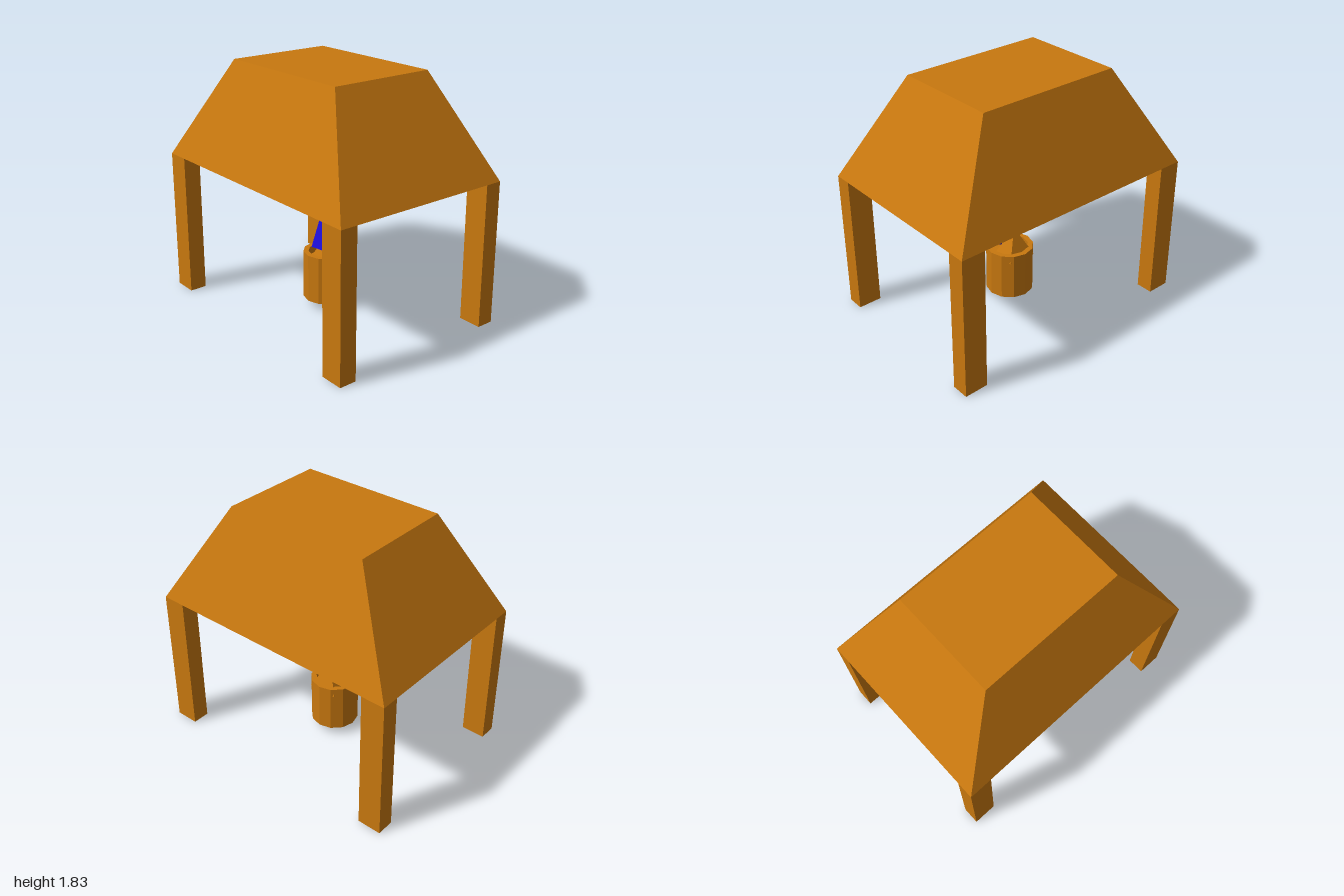
import * as THREE from 'three';

const wood = new THREE.MeshStandardMaterial({ color: 0xc8780f, flatShading: true });
const blue = new THREE.MeshStandardMaterial({ color: 0x200fe0, flatShading: true });

function add(group, name, geometry, material, x, y, z) {
  const mesh = new THREE.Mesh(geometry, material);
  mesh.name = name;
  mesh.position.set(x, y, z);
  group.add(mesh);
  return mesh;
}

// Box whose top face is scaled inwards
function taperedBox(w, h, d, topX, topZ) {
  const geometry = new THREE.BoxGeometry(w, h, d);
  const p = geometry.attributes.position;
  for (let i = 0; i < p.count; i++) {
    if (p.getY(i) > 0) p.setXYZ(i, p.getX(i) * topX, p.getY(i), p.getZ(i) * topZ);
  }
  geometry.computeVertexNormals();
  return geometry;
}

export function createModel() {
  const model = new THREE.Group();
  model.name = 'shelter';

  // Roof and four corner posts
  add(model, 'roof', taperedBox(1.426, 0.75, 2, 0.568, 0.567), wood, 0, 1.455, 0);
  for (const sx of [-1, 1]) {
    for (const sz of [-1, 1]) {
      add(model, 'post', new THREE.BoxGeometry(0.13, 1.08, 0.18), wood, sx * 0.648, 0.54, sz * 0.91);
    }
  }

  // Tub with a raised rim around a shallow recess
  const profile = [[0, 0.065], [0.18, 0.065], [0.18, 0.43], [0.14, 0.43], [0.14, 0.37], [0, 0.37]]
    .map(([r, y]) => new THREE.Vector2(r, y));
  add(model, 'tub', new THREE.LatheGeometry(profile, 12), wood, -0.01, 0, 0);

  // Pointed block standing in the tub
  add(model, 'spike', taperedBox(0.19, 0.23, 0.23, 0, 0), wood, 0.04, 0.485, 0);

  // Leaning folded panel with a V-shaped section
  const section = new THREE.Shape([
    [0.04, 0], [-0.015, 0.112], [-0.04, 0.095], [0.01, 0], [-0.04, -0.095], [-0.015, -0.112],
  ].map(([a, b]) => new THREE.Vector2(a, b)));
  const panel = new THREE.ExtrudeGeometry(section, { depth: 0.21, bevelEnabled: false });
  panel.rotateX(-Math.PI / 2);
  add(model, 'foldedPanel', panel, blue, -0.07, 0.445, 0.03).rotation.z = -0.37;

  return model;
}
